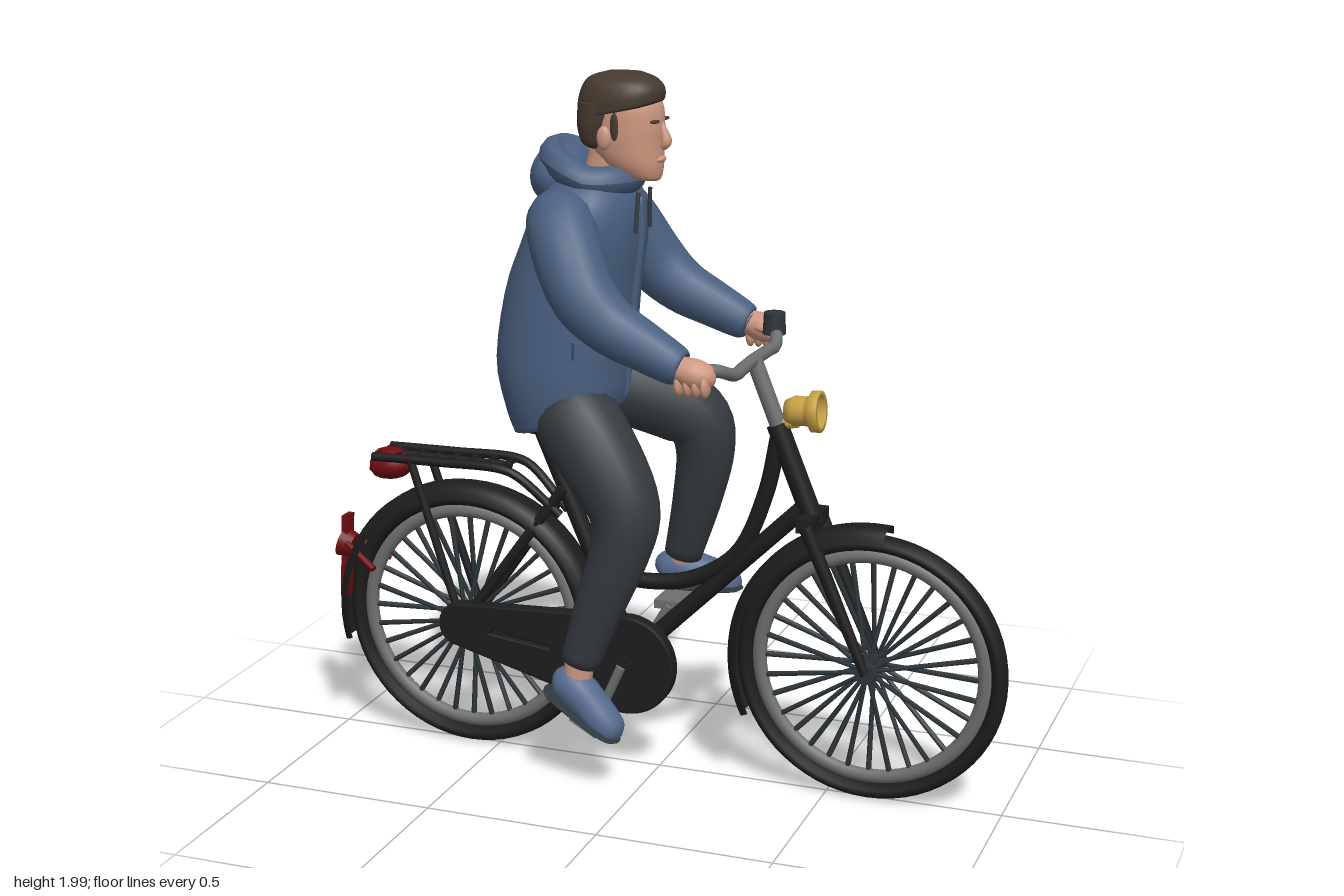
import * as THREE from 'three';

const V = (x, y, z) => new THREE.Vector3(x, y, z);
const TAU = Math.PI * 2;
const mat = (name, color, side = THREE.FrontSide) => {
  const m = new THREE.MeshStandardMaterial({ color, side });
  m.name = name;
  return m;
};

// Smoothly resample rows of numbers
function resample(rows, n) {
  const out = [], last = rows.length - 1;
  for (let k = 0; k <= n; k++) {
    const f = (k / n) * last, i = Math.min(Math.floor(f), last - 1), t = f - i;
    const [a, b, c, d] = [rows[Math.max(i - 1, 0)], rows[i], rows[i + 1], rows[Math.min(i + 2, last)]];
    out.push(b.map((_, q) => 0.5 * (2 * b[q] + (c[q] - a[q]) * t + (2 * a[q] - 5 * b[q] + 4 * c[q] - d[q]) * t * t
      + (3 * b[q] - a[q] - 3 * c[q] + d[q]) * t * t * t)));
  }
  return out;
}

// Skin a list of rings and close both ends
function loft(rings) {
  const n = rings[0].length, pos = [], idx = [];
  rings.forEach(r => r.forEach(p => pos.push(p.x, p.y, p.z)));
  for (const r of [rings[0], rings[rings.length - 1]]) {
    const c = r.reduce((s, p) => s.add(p), V(0, 0, 0)).divideScalar(n);
    pos.push(c.x, c.y, c.z);
  }
  const end = (rings.length - 1) * n, c0 = rings.length * n;
  for (let j = 0; j < n; j++) {
    const k = (j + 1) % n;
    for (let i = 0; i < end; i += n) idx.push(i + j, i + k, i + n + k, i + j, i + n + k, i + n + j);
    idx.push(c0, k, j, c0 + 1, end + j, end + k);
  }
  const g = new THREE.BufferGeometry();
  g.setAttribute('position', new THREE.Float32BufferAttribute(pos, 3));
  g.setIndex(idx);
  g.computeVertexNormals();
  return g;
}

// Round limb through rows of [x, y, z, radius]
function limb(rows, steps = 20, sides = 16) {
  const s = resample(rows, steps);
  return loft(s.map((p, i) => {
    const a = s[Math.max(i - 1, 0)], b = s[Math.min(i + 1, steps)];
    const t = V(b[0] - a[0], b[1] - a[1], b[2] - a[2]).normalize();
    const u = V(0, 0, 1).addScaledVector(t, -t.z).normalize(), v = t.clone().cross(u);
    const r = Math.max(p[3], 0.001);
    return Array.from({ length: sides }, (_, j) => V(p[0], p[1], p[2])
      .addScaledVector(u, r * Math.cos(j / sides * TAU)).addScaledVector(v, r * Math.sin(j / sides * TAU)));
  }));
}

// Upright body from rows of [y, back x, front x, half width, slope]
function stack(rows, steps = 24, sides = 28, power = 0.88) {
  const soft = v => Math.sign(v) * Math.abs(v) ** power;
  return loft(resample(rows, steps).map(([y, x0, x1, w, slope]) => Array.from({ length: sides }, (_, j) => {
    const a = j / sides * TAU, dx = (x1 - x0) / 2 * soft(Math.sin(a));
    return V((x0 + x1) / 2 + dx, y + slope * dx, w * soft(Math.cos(a)));
  })));
}

function rod(a, b, r, r2 = r, sides = 12) {
  const A = V(...a), B = V(...b), d = B.clone().sub(A);
  const g = new THREE.CylinderGeometry(r2, r, d.length(), sides);
  g.applyQuaternion(new THREE.Quaternion().setFromUnitVectors(V(0, 1, 0), d.normalize()));
  return g.translate(...A.add(B).multiplyScalar(0.5).toArray());
}
const tube = (pts, r, n = 30) => new THREE.TubeGeometry(new THREE.CatmullRomCurve3(pts.map(p => V(...p))), n, r, 10);
const ball = (x, y, z, rx, ry, rz) => new THREE.SphereGeometry(1, 20, 14).scale(rx, ry, rz).translate(x, y, z);
const box = (x, y, z, w, h, d) => new THREE.BoxGeometry(w, h, d).translate(x, y, z);

export function createModel() {
  const model = new THREE.Group();
  model.name = 'cyclistOnBicycle';
  const black = mat('black frame', 0x1d1d1d, THREE.DoubleSide), steel = mat('dark steel', 0x2e363b);
  const grey = mat('grey metal', 0x6e7070), gold = mat('brass', 0xc9a244), red = mat('red', 0x700c10);
  const coat = mat('blue coat', 0x4a6080), shoe = mat('blue shoe', 0x54698c), pants = mat('charcoal trousers', 0x363b41);
  const skin = mat('skin', 0xcf9880), hair = mat('brown hair', 0x463a30);
  const group = name => { const g = new THREE.Group(); g.name = name; model.add(g); return g; };
  const add = (parent, name, geo, m) => {
    const mesh = new THREE.Mesh(geo, m);
    mesh.name = name;
    parent.add(mesh);
    return mesh;
  };

  // Wheels with fenders
  const R = -0.585, F = 0.62, H = 0.392;
  for (const [name, x, from, to] of [['rearWheel', R, 65, 285], ['frontWheel', F, 174, 296]]) {
    const w = group(name);
    w.position.set(x, H, 0);
    add(w, 'tire', new THREE.TorusGeometry(0.361, 0.023, 10, 64).scale(1, 1, 1.5), black);
    add(w, 'rim', new THREE.TorusGeometry(0.322, 0.021, 8, 64).scale(1, 1, 0.8), grey);
    add(w, 'hub', rod([0, 0, -0.065], [0, 0, 0.065], 0.03), steel);
    for (let i = 0; i < 32; i++) {
      const a = i / 32 * TAU, c = Math.cos(a), s = Math.sin(a);
      add(w, 'spoke', rod([c * 0.025, s * 0.025, i % 2 ? 0.035 : -0.035], [c * 0.315, s * 0.315, 0], 0.006, 0.008, 6), steel);
    }
    const profile = [[0.375, -0.058], [0.4, -0.05], [0.41, -0.02], [0.41, 0.02], [0.4, 0.05], [0.375, 0.058]];
    const deg = Math.PI / 180;
    add(w, 'fender', new THREE.LatheGeometry(profile.map(p => new THREE.Vector2(...p)), 40, from * deg, (to - from) * deg)
      .rotateX(Math.PI / 2), black);
  }

  // Loop frame, fork and saddle
  const frame = group('frame');
  add(frame, 'seatTube', rod([-0.37, 1.02, 0], [-0.08, 0.34, 0], 0.025), black);
  add(frame, 'headTube', rod([0.34, 1.06, 0], [0.45, 0.79, 0], 0.03), black);
  add(frame, 'curvedTopTube', tube([[0.345, 1.03, 0], [0.31, 0.86, 0], [0.23, 0.68, 0], [0.1, 0.59, 0], [-0.04, 0.565, 0], [-0.18, 0.58, 0]], 0.023), black);
  add(frame, 'downTube', rod([0.43, 0.84, 0], [-0.07, 0.35, 0], 0.025), black);
  add(frame, 'bottomBracket', rod([-0.08, 0.335, -0.09], [-0.08, 0.335, 0.1], 0.03), black);
  add(frame, 'forkCrown', box(0.445, 0.8, 0, 0.05, 0.04, 0.15), black);
  add(frame, 'saddle', limb([[-0.42, 1.04, 0, 0.02], [-0.38, 1.04, 0, 0.075], [-0.27, 1.05, 0, 0.05], [-0.17, 1.05, 0, 0.02]]), black);
  for (const s of [-1, 1]) {
    add(frame, 'forkLeg', rod([0.445, 0.8, s * 0.068], [F, H, s * 0.062], 0.021, 0.014), black);
    add(frame, 'seatStay', rod([-0.28, 0.82, s * 0.03], [R, H, s * 0.065], 0.015), black);
    add(frame, 'chainStay', rod([-0.08, 0.335, s * 0.04], [R, H, s * 0.065], 0.016), black);
  }

  // Chain case with slot
  const disc = new THREE.Shape();
  disc.absarc(-0.075, 0.335, 0.14, -1.72, 1.5, false);
  disc.absarc(R, H, 0.06, 1.5, 4.56, false);
  const slot = new THREE.Path([[-0.5, 0.375], [-0.48, 0.395], [-0.3, 0.365], [-0.3, 0.35]].map(p => new THREE.Vector2(...p)));
  disc.holes.push(slot);
  add(frame, 'chainCase', new THREE.ExtrudeGeometry(disc, { depth: 0.03, bevelSize: 0.006, bevelThickness: 0.006, bevelSegments: 2, curveSegments: 28 })
    .translate(0, 0, 0.052), black);

  // Cranks and pedals
  for (const [z, px, py, tilt] of [[0.1, -0.14, 0.2, -0.52], [-0.09, -0.005, 0.465, 0]]) {
    add(frame, 'crank', rod([-0.08, 0.335, z], [px, py, z], 0.014), grey);
    add(frame, 'pedal', new THREE.BoxGeometry(0.09, 0.025, 0.13).rotateZ(tilt).translate(px, py, z * 1.7), grey);
  }

  // Luggage rack
  const rack = group('luggageRack');
  for (const s of [-1, 1]) {
    add(rack, 'rail', tube([[-0.86, 0.865, s * 0.06], [-0.65, 0.868, s * 0.06], [-0.46, 0.868, s * 0.06], [-0.41, 0.85, s * 0.055], [-0.29, 0.74, s * 0.03]], 0.013), black);
    add(rack, 'strut', rod([-0.74, 0.865, s * 0.06], [R, H, s * 0.07], 0.012), black);
  }
  for (let i = 0; i < 8; i++) add(rack, 'slat', box(-0.85 + i * 0.055, 0.865, 0, 0.016, 0.014, 0.12), black);
  add(rack, 'middleBar', rod([-0.86, 0.865, 0], [-0.45, 0.865, 0], 0.01), black);

  // Tail lamp and rear reflector
  const tail = group('rearLights');
  add(tail, 'tailLamp', limb([[-0.875, 0.83, 0, 0.02], [-0.868, 0.83, 0, 0.042], [-0.81, 0.835, 0, 0.045], [-0.77, 0.845, 0, 0.025]]).scale(1, 1, 1.3), red);
  add(tail, 'reflectorPlate', new THREE.BoxGeometry(0.018, 0.25, 0.045).rotateZ(-0.05).translate(-0.985, 0.535, 0), red);
  add(tail, 'reflector', rod([-0.998, 0.575, 0], [-0.96, 0.565, 0], 0.045, 0.035, 20), red);
  for (const s of [-1, 1]) add(tail, 'reflectorArm', rod([-0.97, 0.58, s * 0.03], [-0.87, 0.52, s * 0.06], 0.01), red);

  // Handlebar, bell and headlamp
  const steering = group('steering');
  const half = [[0.275, 1.235, 0.1], [0.275, 1.235, 0.18], [0.25, 1.26, 0.25], [0.2, 1.262, 0.285], [0.13, 1.255, 0.29]];
  add(steering, 'stem', rod([0.35, 1.04, 0], [0.272, 1.235, 0], 0.023), grey);
  add(steering, 'handlebar', tube([...half.map(p => [p[0], p[1], -p[2]]).reverse(), [0.272, 1.235, 0], ...half], 0.018, 60), grey);
  add(steering, 'bell', rod([0.25, 1.25, -0.25], [0.25, 1.312, -0.25], 0.033, 0.03, 16), steel);
  const lamp = [[0, 0], [0.03, 0.005], [0.042, 0.03], [0.04, 0.06], [0.044, 0.075], [0.057, 0.08], [0.057, 0.105], [0.042, 0.105], [0.036, 0.085], [0, 0.08]];
  add(steering, 'headlamp', new THREE.LatheGeometry(lamp.map(p => new THREE.Vector2(...p)), 24).rotateZ(-Math.PI / 2 + 0.06).translate(0.36, 1.1, 0), gold);
  add(steering, 'lampBracket', rod([0.335, 1.06, 0], [0.4, 1.07, 0], 0.015), gold);

  // Coat body, hood and details
  const jacket = group('coat');
  add(jacket, 'coatBody', stack([[1.035, -0.41, -0.11, 0.195, 0.27], [1.1, -0.435, -0.095, 0.21, 0.2], [1.21, -0.46, -0.09, 0.218, 0.05],
    [1.4, -0.43, -0.075, 0.212, 0], [1.55, -0.375, -0.055, 0.205, 0], [1.64, -0.34, -0.06, 0.19, 0], [1.7, -0.305, -0.085, 0.145, 0], [1.74, -0.27, -0.11, 0.08, 0]]), coat);
  const collar = new THREE.TorusGeometry(0.1, 0.042, 12, 32).rotateX(Math.PI / 2), cp = collar.attributes.position;
  for (let i = 0; i < cp.count; i++) {
    const back = Math.min(Math.max(-cp.getX(i) / 0.11 + 0.3, 0), 1.2);
    cp.setY(i, cp.getY(i) * (1 + 0.25 * back) + 0.045 * back);
  }
  collar.computeVertexNormals();
  add(jacket, 'hoodCollar', collar.scale(1.03, 1, 1.06).translate(-0.195, 1.71, 0), coat);
  add(jacket, 'hoodBack', ball(-0.28, 1.71, 0, 0.085, 0.09, 0.125), coat);
  add(jacket, 'placket', limb([[-0.103, 1.1, 0, 0.012], [-0.09, 1.22, 0, 0.012], [-0.074, 1.4, 0, 0.012], [-0.055, 1.55, 0, 0.012], [-0.06, 1.66, 0, 0.012]], 14, 8), coat);
  for (const s of [-1, 1]) {
    add(jacket, 'drawstring', rod([-0.045, 1.68, s * 0.045], [-0.05, 1.57, s * 0.055], 0.006), pants);
    const flap = add(jacket, 'pocketFlap', new THREE.BoxGeometry(0.13, 0.05, 0.025), coat);
    flap.position.set(-0.135, 1.265, s * 0.152);
    flap.rotation.set(0, s > 0 ? 0.85 : Math.PI - 0.85, 0);
    add(jacket, 'sleeve', limb([[-0.24, 1.66, s * 0.1, 0.02], [-0.23, 1.63, s * 0.15, 0.085], [-0.19, 1.56, s * 0.215, 0.095], [-0.12, 1.44, s * 0.265, 0.09],
      [-0.04, 1.365, s * 0.275, 0.078], [0.06, 1.315, s * 0.28, 0.066], [0.155, 1.27, s * 0.285, 0.052], [0.16, 1.268, s * 0.285, 0.03]], 34), coat);
    // Hand gripping the bar
    const hand = group('hand');
    add(hand, 'palm', limb([[0.13, 1.275, s * 0.29, 0.03], [0.17, 1.265, s * 0.292, 0.038], [0.21, 1.255, s * 0.29, 0.042], [0.245, 1.25, s * 0.28, 0.03], [0.255, 1.25, s * 0.275, 0.01]], 12, 12), skin);
    for (let i = 0; i < 4; i++) add(hand, 'finger', ball(0.165 + i * 0.024, 1.23, s * 0.3, 0.013, 0.034, 0.03), skin);
    add(hand, 'thumb', ball(0.225, 1.262, s * 0.252, 0.035, 0.014, 0.014), skin);
  }

  // Head, face and hair
  const head = group('head');
  add(head, 'neck', rod([-0.17, 1.66, 0], [-0.125, 1.82, 0], 0.065, 0.06, 20), skin);
  add(head, 'face', stack([[1.712, -0.1, -0.02, 0.03, -0.1], [1.722, -0.14, 0.0, 0.052, -0.15], [1.76, -0.175, 0.008, 0.074, -0.1], [1.81, -0.2, 0.008, 0.084, 0],
    [1.86, -0.21, 0.01, 0.088, 0], [1.92, -0.205, 0.002, 0.086, 0], [1.965, -0.17, -0.04, 0.06, 0]], 24, 24, 0.95), skin);
  add(head, 'nose', limb([[0.002, 1.865, 0, 0.008], [0.012, 1.84, 0, 0.012], [0.018, 1.815, 0, 0.016], [0.006, 1.8, 0, 0.012]], 10, 10), skin);
  add(head, 'lips', ball(0.002, 1.767, 0, 0.013, 0.01, 0.028), skin);
  add(head, 'hairTop', stack([[1.895, -0.224, -0.005, 0.094, 0.2], [1.905, -0.228, 0.008, 0.097, 0.2], [1.945, -0.225, 0.008, 0.094, 0.1], [1.98, -0.2, -0.012, 0.075, 0], [1.998, -0.15, -0.05, 0.03, 0]]), hair);
  add(head, 'hairBack', stack([[1.795, -0.2, -0.14, 0.06, -0.1], [1.81, -0.215, -0.13, 0.082, -0.1], [1.86, -0.226, -0.105, 0.094, 0], [1.92, -0.225, -0.07, 0.093, 0]]), hair);
  for (const s of [-1, 1]) {
    add(head, 'ear', ball(-0.125, 1.83, s * 0.094, 0.02, 0.032, 0.012), skin);
    add(head, 'sideburn', ball(-0.098, 1.865, s * 0.083, 0.014, 0.045, 0.008), hair);
    add(head, 'brow', ball(0.0, 1.872, s * 0.038, 0.012, 0.005, 0.022), hair);
  }

  // Legs: near one reaching down, far one bent
  const legs = group('legs');
  add(legs, 'nearTrouserLeg', limb([[-0.29, 1.12, 0.09, 0.06], [-0.22, 1.07, 0.11, 0.115], [-0.12, 0.95, 0.14, 0.115], [-0.045, 0.82, 0.16, 0.1],
    [-0.055, 0.7, 0.175, 0.085], [-0.11, 0.54, 0.188, 0.07], [-0.165, 0.375, 0.195, 0.056]], 28), pants);
  add(legs, 'farTrouserLeg', limb([[-0.29, 1.12, -0.09, 0.06], [-0.22, 1.12, -0.1, 0.115], [-0.08, 1.08, -0.14, 0.115], [0.04, 1.01, -0.175, 0.1],
    [0.07, 0.92, -0.185, 0.085], [0.045, 0.77, -0.195, 0.072], [-0.005, 0.585, -0.212, 0.055]], 28), pants);
  add(legs, 'nearAnkle', rod([-0.175, 0.3, 0.2], [-0.163, 0.4, 0.195], 0.042), skin);
  add(legs, 'farAnkle', rod([-0.02, 0.53, -0.225], [0, 0.61, -0.212], 0.04), skin);

  // Shoes with flat soles
  for (const [name, p, yaw, pitch] of [['nearShoe', [-0.155, 0.23, 0.205], -0.05, -0.52], ['farShoe', [0.03, 0.49, -0.24], 0.18, 0]]) {
    const g = group(name);
    g.position.set(...p);
    g.rotation.set(0, yaw, pitch);
    const upper = limb([[-0.115, 0.03, 0, 0.015], [-0.1, 0.038, 0, 0.045], [-0.05, 0.048, 0, 0.056], [0.01, 0.03, 0, 0.056], [0.07, 0.012, 0, 0.053], [0.11, 0.006, 0, 0.04], [0.128, 0.004, 0, 0.01]]);
    const q = upper.attributes.position;
    for (let i = 0; i < q.count; i++) q.setY(i, Math.max(q.getY(i), 0));
    upper.computeVertexNormals();
    add(g, 'upper', upper, shoe);
    add(g, 'sole', upper.clone().scale(1.03, 0.12, 1.06).translate(0, -0.01, 0), steel);
  }
  return model;
}
